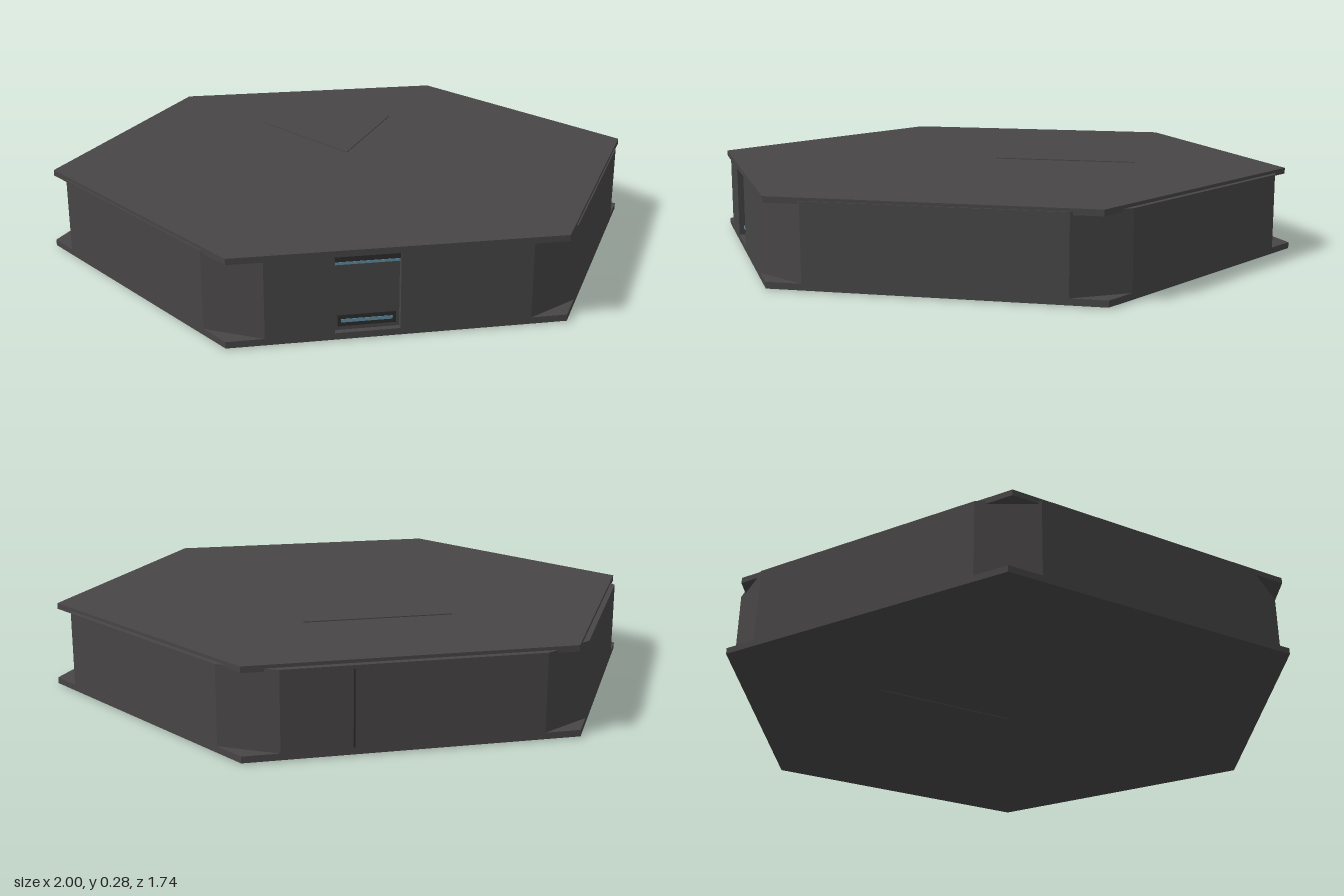
import * as THREE from 'three';

const H = Math.sqrt(3) / 2;
const SHELL = 0x474545, TRIM = 0x2c2b2b, GLOW = 0x5f8a9c;

// Extrudes an outline given as [x, z] points upward from y0 to y1.
function slab(name, points, y0, y1, color) {
  const shape = new THREE.Shape(points.map(([x, z]) => new THREE.Vector2(x, -z)));
  const geometry = new THREE.ExtrudeGeometry(shape, { depth: y1 - y0, bevelEnabled: false });
  geometry.rotateX(-Math.PI / 2);
  geometry.translate(0, y0, 0);
  const mesh = new THREE.Mesh(geometry, new THREE.MeshStandardMaterial({ color, flatShading: true }));
  mesh.name = name;
  return mesh;
}

function bar(name, w, h, d, x, y, z, color) {
  const mesh = new THREE.Mesh(
    new THREE.BoxGeometry(w, h, d),
    new THREE.MeshStandardMaterial({ color, flatShading: true })
  );
  mesh.position.set(x, y, z);
  mesh.name = name;
  return mesh;
}

// Hexagon with points on the x axis.
function hexagon(radius, zShift = 0) {
  return Array.from({ length: 6 }, (_, i) => {
    const a = (i * Math.PI) / 3;
    return [radius * Math.cos(a), radius * Math.sin(a) + zShift];
  });
}

// Hexagon with each corner cut off, and a shallow doorway notch in the front side.
function bodyOutline(cut, door) {
  const corners = hexagon(1);
  const mix = (a, b, t) => [a[0] + (b[0] - a[0]) * t, a[1] + (b[1] - a[1]) * t];
  const outline = [];
  corners.forEach((corner, i) => {
    outline.push(mix(corner, corners[(i + 5) % 6], cut), mix(corner, corners[(i + 1) % 6], cut));
    if (i === 1) {
      outline.push([door.x1, H], [door.x1, H - door.depth], [door.x0, H - door.depth], [door.x0, H]);
    }
  });
  return outline;
}

export function createModel() {
  const model = new THREE.Group();
  model.name = 'hexagonalTile';
  const door = { x0: -0.19, x1: 0, depth: 0.02 };

  // Plates and cut-corner body
  model.add(slab('bottomPlate', hexagon(1), 0.003, 0.023, SHELL));
  model.add(slab('body', bodyOutline(0.11, door), 0.023, 0.265, SHELL));
  model.add(slab('topPlate', hexagon(0.988, 0.012), 0.256, 0.275, SHELL));

  // Slightly raised triangles on top and underside
  const triangle = [[-0.24, -0.416], [0.24, -0.416], [0, 0]];
  model.add(slab('topTriangle', triangle, 0.27, 0.278, SHELL));
  model.add(slab('bottomTriangle', triangle, 0, 0.008, SHELL));

  // Doorway header and light strips
  const doorway = new THREE.Group();
  doorway.name = 'doorway';
  const cx = (door.x0 + door.x1) / 2, back = H - door.depth;
  doorway.add(bar('header', 0.19, 0.016, 0.016, cx, 0.246, back + 0.006, TRIM));
  doorway.add(bar('upperLight', 0.19, 0.008, 0.008, cx, 0.23, back + 0.002, GLOW));
  doorway.add(bar('lowerLightFrame', 0.17, 0.034, 0.006, cx, 0.053, back + 0.001, TRIM));
  doorway.add(bar('lowerLight', 0.15, 0.01, 0.01, cx, 0.053, back + 0.001, GLOW));
  model.add(doorway);

  // Panel seam on the rear side
  model.add(bar('rearSeam', 0.004, 0.23, 0.004, 0.18, 0.14, -H, TRIM));

  return model;
}
